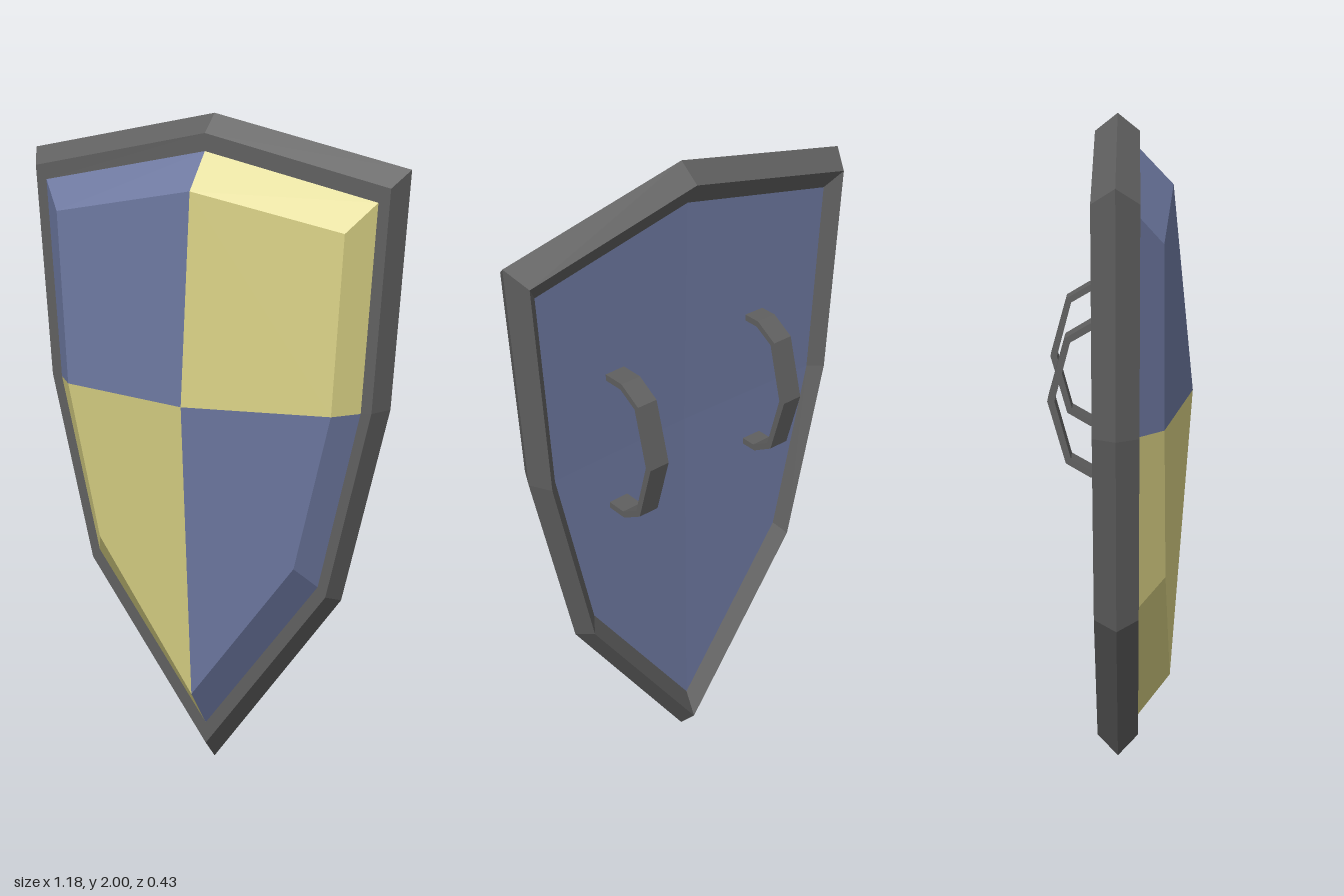
import * as THREE from 'three';

// Full eight-point ring, counter-clockwise from the front, from a half outline
// [top, corner, side, lower, bottom] of [x, y, z]
function ring(half) {
  const left = half.map(([x, y, z]) => [-x, y, z]);
  const right = half.slice(1, 4).reverse();
  return [...left, ...right];
}
const atDepth = (half, z) => ring(half.map(([x, y]) => [x, y, z]));

// Four-cornered faces, each shaded as one facet and split from its first to its third corner
function facetedMesh(name, faces, material) {
  const positions = [], normals = [];
  for (const face of faces) {
    const [a, b, c, d] = face.map((p) => new THREE.Vector3(...p));
    const normal = c.clone().sub(a).cross(d.clone().sub(b)).normalize();
    for (const p of [a, b, c, a, c, d]) {
      positions.push(...p.toArray());
      normals.push(...normal.toArray());
    }
  }
  const geometry = new THREE.BufferGeometry();
  geometry.setAttribute('position', new THREE.Float32BufferAttribute(positions, 3));
  geometry.setAttribute('normal', new THREE.Float32BufferAttribute(normals, 3));
  const mesh = new THREE.Mesh(geometry, material);
  mesh.name = name;
  return mesh;
}

// Faces between two rings, over sides from..to
function band(a, b, from = 0, to = 8) {
  const out = [];
  for (let i = from; i < to; i++) {
    const j = (i + 1) % 8;
    out.push([a[i], a[j], b[j], b[i]]);
  }
  return out;
}

// One quarter of a ring, closed at the centre; the lower ones fold through their outer corner
function quarter(centre, r, q) {
  const [a, b, c] = [r[q * 2], r[q * 2 + 1], r[(q * 2 + 2) % 8]];
  return q === 1 || q === 2 ? [b, c, centre, a] : [a, b, c, centre];
}

export function createModel() {
  const blue = new THREE.MeshStandardMaterial({ color: 0x6c779f });
  const yellow = new THREE.MeshStandardMaterial({ color: 0xd6ce82 });
  const iron = new THREE.MeshStandardMaterial({ color: 0x5f5f5f });
  blue.name = 'blue paint';
  yellow.name = 'yellow paint';
  iron.name = 'dark iron';

  const group = new THREE.Group();
  group.name = 'shield';

  // Half outlines
  const outer = [[0, 2], [0.59, 1.875], [0.55, 1.2], [0.415, 0.6], [0, 0]];
  const edge = [[0, 1.95], [0.555, 1.83], [0.517, 1.2], [0.39, 0.627], [0, 0.073]];
  const inner = [[0, 1.9], [0.52, 1.79], [0.485, 1.196], [0.365, 0.655], [0, 0.143]];
  const backInner = [[0, 1.887], [0.515, 1.778], [0.48, 1.196], [0.362, 0.66], [0, 0.153]];
  const raised = [[0, 1.8, 0.153], [0.45, 1.71, 0.12], [0.423, 1.196, 0.125], [0.32, 0.73, 0.133], [0, 0.28, 0.155]];

  // Rim, from the sloped back lip round the bevelled outside to the flat front lip
  const profile = [
    atDepth(backInner, -0.032), atDepth(edge, -0.07), atDepth(outer, -0.006),
    atDepth(edge, 0.057), atDepth(inner, 0.057),
  ];
  const rim = [];
  for (let k = 0; k < 4; k++) rim.push(...band(profile[k], profile[k + 1]));
  group.add(facetedMesh('rim', rim, iron));

  // Front: four quarters with a bevel and a shallow pyramid
  const panelTop = ring(raised);
  const boss = [0, 1.196, 0.215];
  ['upperRightQuarter', 'lowerRightQuarter', 'lowerLeftQuarter', 'upperLeftQuarter'].forEach((name, q) => {
    const faces = [...band(profile[4], panelTop, q * 2, q * 2 + 2), quarter(boss, panelTop, q)];
    group.add(facetedMesh(name, faces, q % 2 ? yellow : blue));
  });

  // Slightly hollow back
  const back = [0, 1, 2, 3].map((q) => quarter([0, 1.196, -0.02], profile[0], q).reverse());
  group.add(facetedMesh('backPanel', back, blue));

  // Handles: angular straps, as [distance behind the panel, height from middle]
  const strapOuter = [[0.01, 0.222], [0.095, 0.222], [0.165, 0.18], [0.215, 0]];
  const strapInner = [[0.01, 0.203], [0.09, 0.203], [0.15, 0.168], [0.195, 0]];
  const closed = (half) => [...half, ...half.slice(0, 3).reverse().map(([d, h]) => [d, -h])];
  const outline = [...closed(strapOuter), ...closed(strapInner).reverse()];
  const strap = new THREE.ExtrudeGeometry(
    new THREE.Shape(outline.map(([d, h]) => new THREE.Vector2(d, h))),
    { depth: 0.065, bevelEnabled: false });
  strap.translate(0, 0, -0.0325).rotateY(Math.PI / 2);
  [['leftHandle', 0.257, 0], ['rightHandle', -0.259, 0.016]].forEach(([name, x, z]) => {
    const handle = new THREE.Mesh(strap, iron);
    handle.name = name;
    handle.position.set(x, 1.24, z);
    group.add(handle);
  });

  return group;
}
